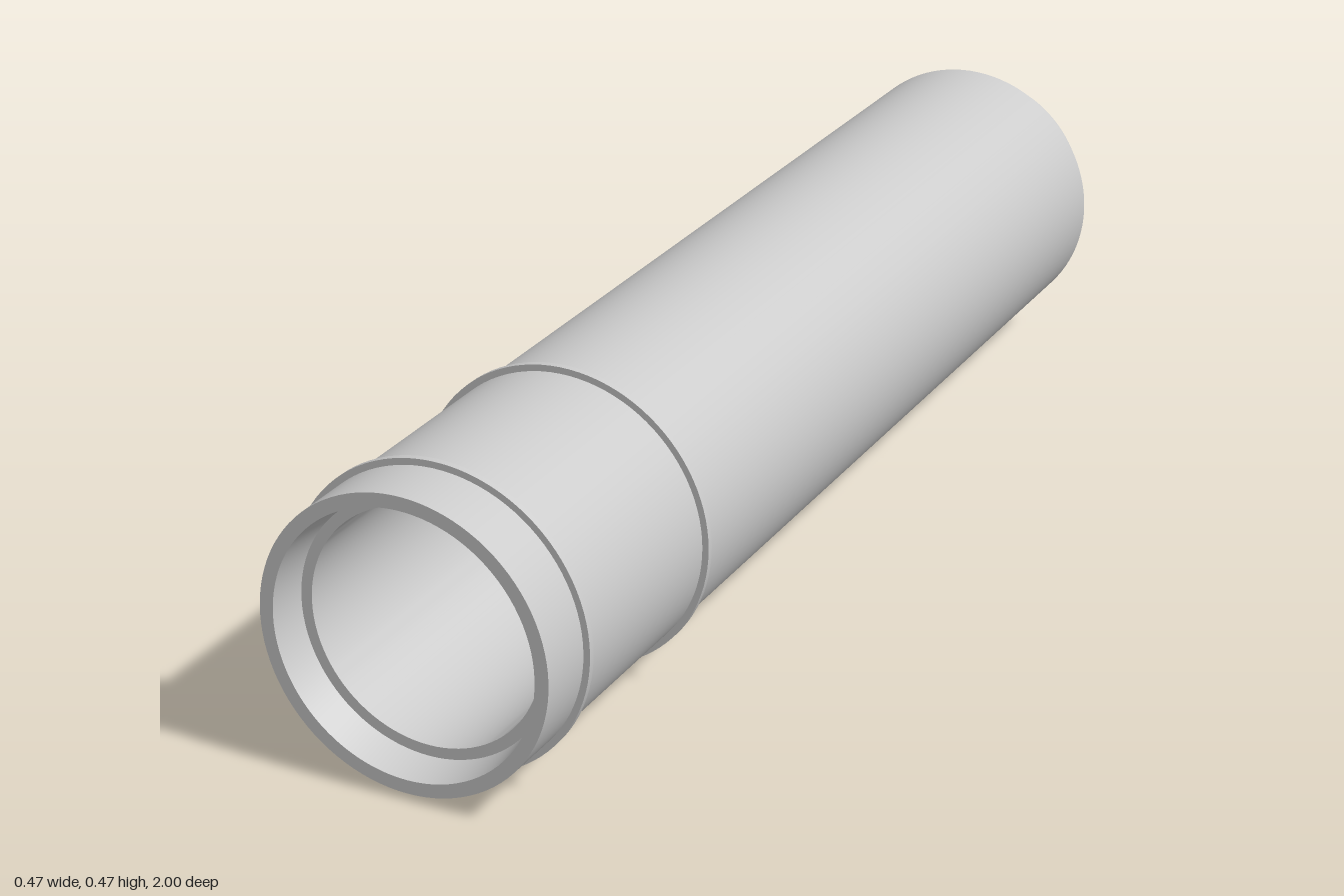
import * as THREE from 'three';
import { toCreasedNormals } from 'three/addons/utils/BufferGeometryUtils.js';

const AXIS_Y = 0.235;
const material = new THREE.MeshStandardMaterial({ color: 0xcccccc });

// Turned part along z from a closed [radius, z] outline
function turned(name, outline) {
  const points = [...outline, outline[0]].map(([r, z]) => new THREE.Vector2(r, z));
  const geometry = new THREE.LatheGeometry(points, 96).rotateX(Math.PI / 2);
  const mesh = new THREE.Mesh(toCreasedNormals(geometry, 0.3), material);
  mesh.name = name;
  return mesh;
}

// Stepped rail lying along the +x side of the tube, with a sloped front end
function rail(name, angle) {
  const back = -0.939, front = 0.999;
  const half = [[0.21, 0.031], [0.222, 0.031], [0.229, 0.024], [0.229, 0.0175], [0.237, 0.0175]];
  const outline = [
    ...half.map(([r, w]) => new THREE.Vector2(r, -w)),
    ...half.map(([r, w]) => new THREE.Vector2(r, w)).reverse(),
  ];
  const geometry = new THREE.ExtrudeGeometry(new THREE.Shape(outline), {
    depth: front - back, bevelEnabled: false,
  }).translate(0, 0, back);
  const p = geometry.attributes.position;
  for (let i = 0; i < p.count; i++) {
    if (p.getZ(i) > 0) p.setZ(i, front - Math.max(0, p.getX(i) - 0.222) * 3.3);
  }
  geometry.computeVertexNormals();
  const mesh = new THREE.Mesh(geometry, material);
  mesh.name = name;
  mesh.rotation.z = angle;
  return mesh;
}

export function createModel() {
  const model = new THREE.Group();
  model.name = 'tubeSection';
  const tube = new THREE.Group();
  tube.name = 'tube';
  tube.position.y = AXIS_Y;
  model.add(tube);

  // Hollow wall with a rounded spigot at the back and a tapered socket at the front
  tube.add(turned('tubeBody', [
    [0.18, -1], [0.192, -1], [0.1955, -0.998], [0.197, -0.993],
    [0.197, -0.94], [0.225, -0.94], [0.225, 1],
    [0.204, 1], [0.197, 0.94], [0.18, 0.94],
  ]));

  // Thin raised bands
  [['frontBand', 0.9], ['rearBand', 0.55]].forEach(([name, z]) => {
    tube.add(turned(name, [
      [0.22, z - 0.005], [0.235, z - 0.005], [0.235, z + 0.005], [0.22, z + 0.005],
    ]));
  });

  // Lengthwise rails on the right side and near the bottom
  tube.add(rail('sideRail', Math.PI));
  tube.add(rail('lowerRail', Math.PI + THREE.MathUtils.degToRad(66)));
  return model;
}
